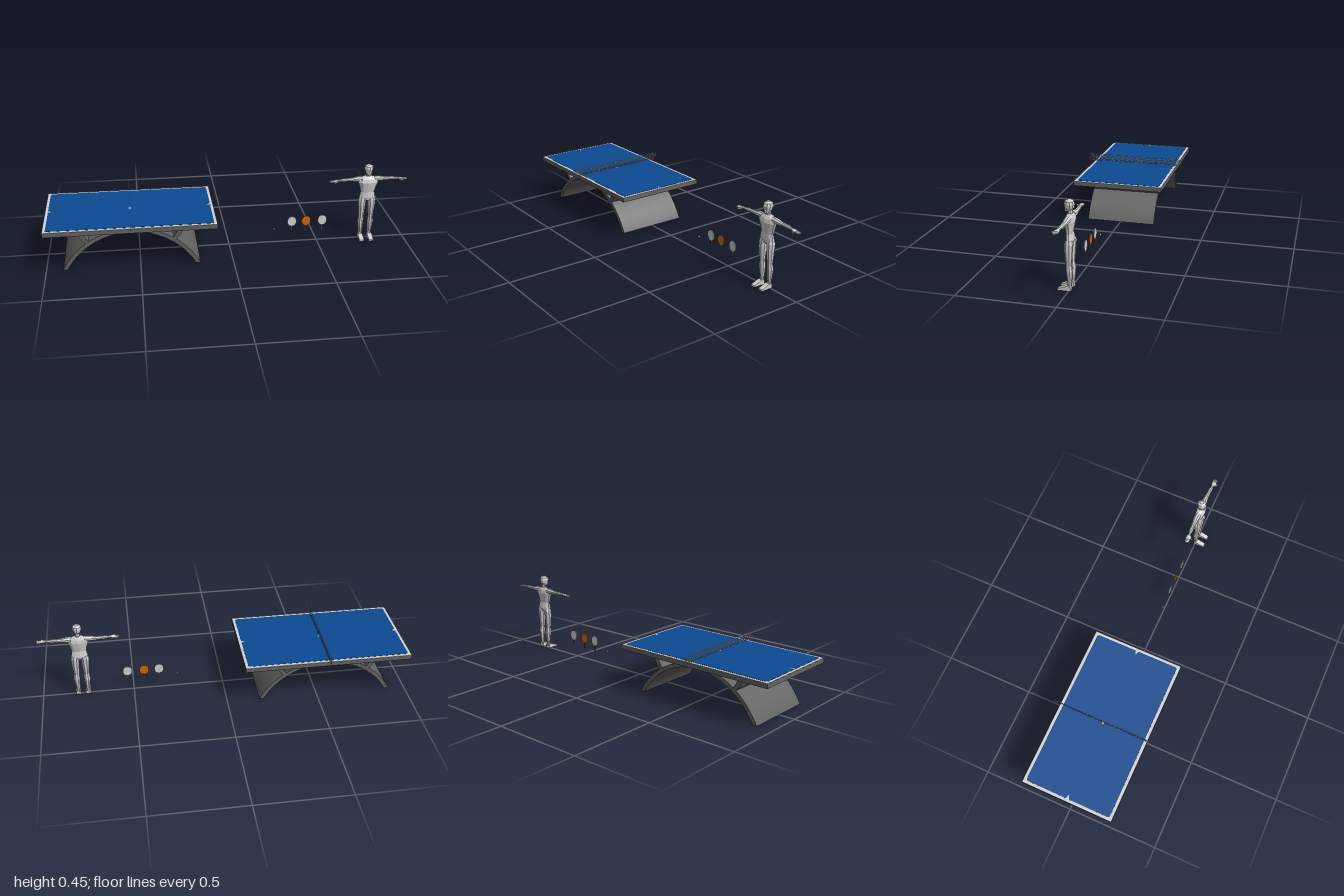
import * as THREE from 'three';
import { mergeGeometries, toCreasedNormals } from 'three/addons/utils/BufferGeometryUtils.js';

const mat = (name, color, extra = {}) => new THREE.MeshStandardMaterial({ name, color, ...extra });

// Closed loft along +y through rings of [y, centreX, centreZ, radiusX, radiusZ]
function loft(rings, n = 8) {
  const pos = [], idx = [];
  for (const [y, cx, cz, rx, rz] of rings)
    for (let i = 0; i < n; i++) {
      const a = (i + 0.5) / n * Math.PI * 2;
      pos.push(cx + rx * Math.cos(a), y, cz + rz * Math.sin(a));
    }
  for (let r = 0; r < rings.length - 1; r++)
    for (let i = 0; i < n; i++) {
      const a = r * n + i, b = r * n + (i + 1) % n;
      idx.push(a, a + n, b, b, a + n, b + n);
    }
  const top = (rings.length - 1) * n;
  for (let i = 1; i < n - 1; i++) {
    idx.push(0, i, i + 1);
    idx.push(top, top + i + 1, top + i);
  }
  const g = new THREE.BufferGeometry();
  g.setAttribute('position', new THREE.Float32BufferAttribute(pos, 3));
  g.setIndex(idx);
  const flat = g.toNonIndexed();
  flat.computeVertexNormals();
  return flat;
}

function extrude(shape, depth, curveSegments = 12) {
  return new THREE.ExtrudeGeometry(shape, { depth, bevelEnabled: false, curveSegments });
}

function roundedRect(w, h, r) {
  const s = new THREE.Shape(), x = w / 2, y = h / 2;
  s.absarc(x - r, y - r, r, 0, Math.PI / 2);
  s.absarc(-x + r, y - r, r, Math.PI / 2, Math.PI);
  s.absarc(-x + r, -y + r, r, Math.PI, Math.PI * 1.5);
  s.absarc(x - r, -y + r, r, Math.PI * 1.5, Math.PI * 2);
  return s;
}

export function createModel() {
  const model = new THREE.Group();
  const darkGrey = mat('dark grey', 0x636363, { side: THREE.DoubleSide });
  const white = mat('light grey', 0xd4d4d4, { side: THREE.DoubleSide });
  const blue = mat('blue', 0x0c4a92);
  const orange = mat('orange', 0xd06808);
  const body = mat('figure grey', 0xd0d0d0, { flatShading: true });

  const add = (parent, name, geometry, material, x = 0, y = 0, z = 0) => {
    const m = new THREE.Mesh(geometry, material);
    m.name = name;
    m.position.set(x, y, z);
    parent.add(m);
    return m;
  };
  const group = (name, x = 0, y = 0, z = 0) => {
    const g = new THREE.Group();
    g.name = name;
    g.position.set(x, y, z);
    model.add(g);
    return g;
  };

  // Table top with pale border, blue field and centre marks
  const table = group('table', -0.545);
  add(table, 'tableTop', new THREE.BoxGeometry(0.91, 0.025, 0.508), darkGrey, 0, 0.2395);
  add(table, 'border', new THREE.BoxGeometry(0.908, 0.001, 0.506), white, 0, 0.2525);
  const field = extrude(roundedRect(0.878, 0.474, 0.012), 0.001).rotateX(-Math.PI / 2);
  add(table, 'playingField', field, blue, 0, 0.253);
  for (const s of [-1, 1]) {
    const mark = new THREE.Shape();
    mark.moveTo(0.44 * s, 0.009);
    mark.lineTo(0.44 * s, -0.009);
    mark.lineTo(0.415 * s, 0);
    add(table, 'endMark', extrude(mark, 0.0008).rotateX(-Math.PI / 2), white, 0, 0.254);
  }
  add(table, 'centreDot', new THREE.CylinderGeometry(0.007, 0.007, 0.001, 16), white, 0, 0.2545);

  // Arched base, cut flat at the floor
  const cy = -0.1835, R = 0.4105, r = 0.3885;
  const a0 = Math.asin(-cy / R), a1 = Math.asin(-cy / r);
  const arch = new THREE.Shape();
  arch.absarc(0, cy, R, a0, Math.PI - a0, false);
  arch.absarc(0, cy, r, Math.PI - a1, a1, true);
  add(table, 'archBase', toCreasedNormals(extrude(arch, 0.39, 32), 0.5), darkGrey, 0, 0, -0.195);

  // Curved braces between arch and table top
  for (const s of [-1, 1]) {
    const brace = new THREE.Shape();
    brace.moveTo(0.288 * s, 0.228);
    brace.quadraticCurveTo(0.27 * s, 0.18, 0.223 * s, 0.155);
    brace.lineTo(0.238 * s, 0.142);
    brace.quadraticCurveTo(0.263 * s, 0.165, 0.288 * s, 0.228);
    const b = new THREE.Shape();
    b.moveTo(0.286 * s, 0.228);
    b.quadraticCurveTo(0.266 * s, 0.17, 0.236 * s, 0.146);
    b.lineTo(0.22 * s, 0.156);
    b.quadraticCurveTo(0.246 * s, 0.188, 0.254 * s, 0.228);
    add(table, 'brace', toCreasedNormals(extrude(b, 0.39, 10), 0.5), darkGrey, 0, 0, -0.195);
  }

  // Net woven from fine flat strands
  const strands = [];
  const strand = (w, h, z, y) =>
    strands.push(new THREE.PlaneGeometry(w, h).rotateY(Math.PI / 2).translate(0, y, z));
  for (let i = 0; i <= 100; i++) strand(0.0015, 0.044, -0.285 + i * 0.0057, 0.274);
  for (let i = 0; i <= 8; i++) strand(0.57, 0.0015, 0, 0.2528 + i * 0.0053);
  add(table, 'net', mergeGeometries(strands), white);
  for (const s of [-1, 1])
    add(table, 'netPost', new THREE.BoxGeometry(0.003, 0.044, 0.002), white, 0, 0.274, s * 0.285);

  // Ball and three upright bats
  add(model, 'ball', new THREE.SphereGeometry(0.0055, 16, 10), white, 0.255, 0.08, 0);
  [[0.356, white], [0.438, orange], [0.53, white]].forEach(([x, color]) => {
    const bat = group('bat', x, 0.122, 0);
    const blade = new THREE.CylinderGeometry(0.026, 0.026, 0.004, 28).rotateX(Math.PI / 2);
    blade.scale(1, 1.15, 1);
    add(bat, 'blade', blade, color);
    add(bat, 'handle', new THREE.BoxGeometry(0.008, 0.034, 0.006), darkGrey, 0, -0.043, 0);
  });

  // Standing figure with outstretched arms
  const figure = group('figure', 0.78);
  add(figure, 'torso', loft([
    [0.232, 0, -0.001, 0.03, 0.014],
    [0.25, 0, -0.002, 0.048, 0.02],
    [0.285, 0, 0, 0.04, 0.016],
    [0.315, 0, 0, 0.047, 0.022],
    [0.343, 0, 0, 0.058, 0.027],
    [0.362, 0, -0.002, 0.06, 0.023],
    [0.374, 0, -0.004, 0.034, 0.017],
    [0.379, 0, -0.004, 0.014, 0.013]], 10), body);
  add(figure, 'neck', loft([
    [0.37, 0, -0.004, 0.014, 0.013],
    [0.398, 0, -0.003, 0.013, 0.012]]), body);
  add(figure, 'head', loft([
    [0.388, 0, 0.014, 0.009, 0.011],
    [0.396, 0, 0.006, 0.016, 0.019],
    [0.408, 0, 0.001, 0.021, 0.024],
    [0.424, 0, 0.001, 0.025, 0.027],
    [0.438, 0, 0, 0.022, 0.023],
    [0.4465, 0, 0, 0.01, 0.011]], 10), body);

  for (const s of [-1, 1]) {
    // Leg rings lean outward by side
    const leg = loft([
      [0.012, 0.026, -0.002, 0.012, 0.009],
      [0.035, 0.026, -0.003, 0.011, 0.01],
      [0.065, 0.027, -0.003, 0.014, 0.014],
      [0.1, 0.028, -0.003, 0.018, 0.017],
      [0.13, 0.027, 0, 0.015, 0.014],
      [0.16, 0.027, 0, 0.018, 0.017],
      [0.205, 0.027, 0, 0.022, 0.021],
      [0.235, 0.027, -0.002, 0.023, 0.022],
      [0.252, 0.024, -0.002, 0.021, 0.018]].map(([y, x, ...rest]) => [y, x * s, ...rest]));
    add(figure, s > 0 ? 'leftLeg' : 'rightLeg', leg, body);

    // Foot as a wedge sloping down to the toes
    const foot = new THREE.Shape();
    foot.moveTo(-0.011, 0);
    foot.lineTo(0.057, 0);
    foot.lineTo(0.055, 0.008);
    foot.lineTo(0.012, 0.024);
    foot.lineTo(-0.009, 0.024);
    const footGeo = extrude(foot, 0.026).translate(0, 0, -0.013).rotateY(-Math.PI / 2);
    add(figure, s > 0 ? 'leftFoot' : 'rightFoot', footGeo, body, 0.027 * s, 0, 0);

    // Arm lofted outward from the shoulder; centreX runs downward on both sides
    const arm = loft([
      [0.035, 0, -0.003, 0.015, 0.018],
      [0.062, 0.001, -0.004, 0.015, 0.017],
      [0.09, 0.003, -0.004, 0.011, 0.013],
      [0.118, 0.003, -0.003, 0.0095, 0.011],
      [0.14, 0.003, -0.002, 0.0095, 0.012],
      [0.165, 0.004, 0, 0.007, 0.008],
      [0.172, 0.004, 0.001, 0.006, 0.009],
      [0.182, 0.005, 0.002, 0.0065, 0.015],
      [0.198, 0.006, 0.002, 0.005, 0.014]].map(([y, x, ...rest]) => [y, x * s, ...rest]));
    arm.rotateZ(-s * Math.PI / 2);
    add(figure, s > 0 ? 'leftArm' : 'rightArm', arm, body, 0, 0.361, 0);

    // Fingers and thumb
    [0.018, 0.022, 0.021, 0.016].forEach((len, i) => add(figure, 'finger',
      new THREE.BoxGeometry(len + 0.002, 0.006, 0.0055), body,
      s * (0.197 + len / 2), 0.354, 0.0115 - i * 0.0065));
    const thumb = add(figure, 'thumb', new THREE.BoxGeometry(0.022, 0.006, 0.006), body, s * 0.186, 0.353, 0.018);
    thumb.rotation.y = -s * 0.6;
  }
  return model;
}
